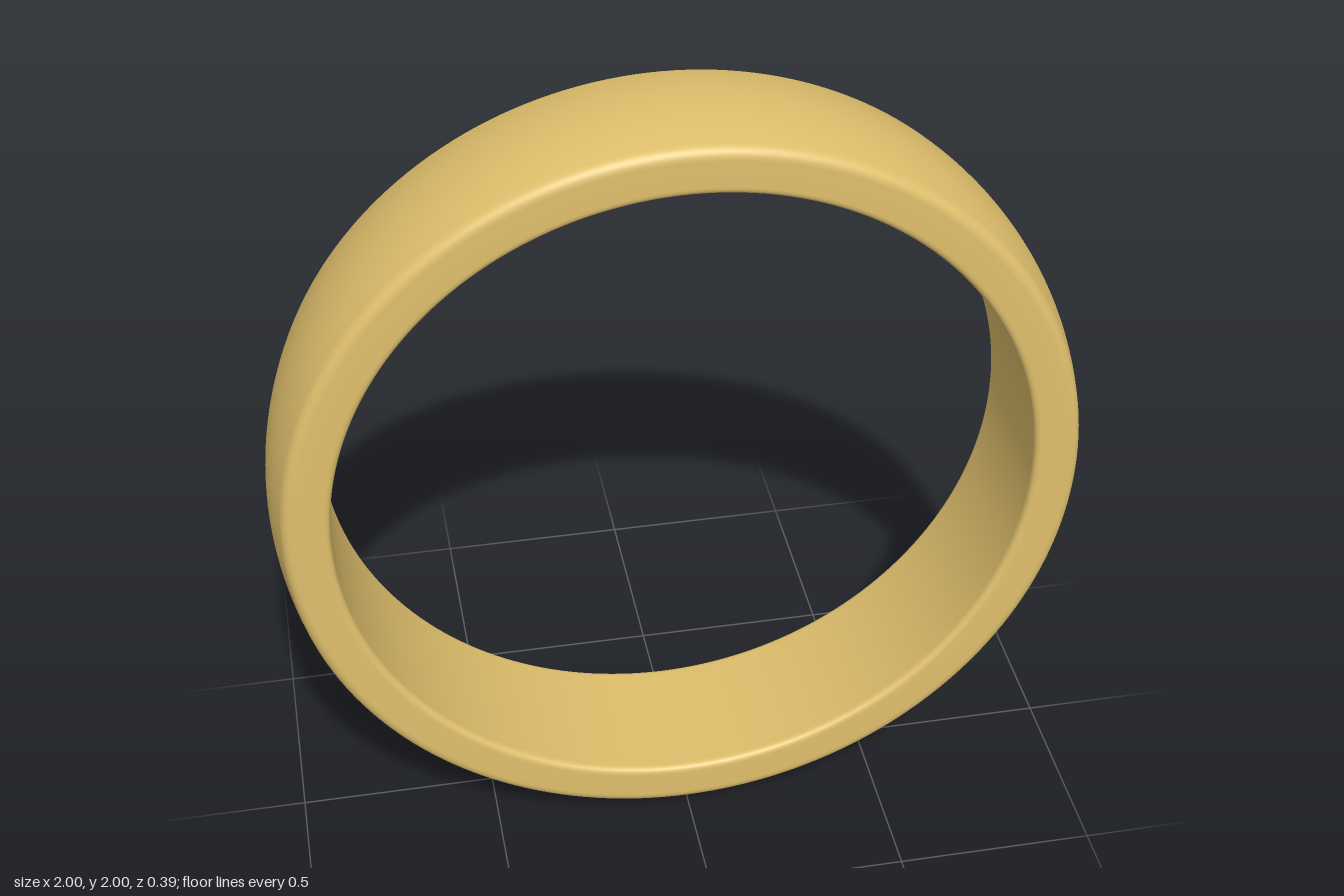
import * as THREE from 'three';

const HALF_WIDTH = 0.197;
const INNER = 0.86;

// Closed cross-section (radius, axial position): flat bore, rounded rims, domed outside.
function bandProfile() {
  const h = HALF_WIDTH;
  const path = new THREE.Path();
  path.moveTo(INNER, 0);
  path.lineTo(INNER, -h + 0.02);
  path.quadraticCurveTo(INNER, -h, INNER + 0.02, -h);
  path.lineTo(0.945, -h);
  path.quadraticCurveTo(0.972, -h, 0.978, -h + 0.027);
  path.quadraticCurveTo(1.022, 0, 0.978, h - 0.027);
  path.quadraticCurveTo(0.972, h, 0.945, h);
  path.lineTo(INNER + 0.02, h);
  path.quadraticCurveTo(INNER, h, INNER, h - 0.02);
  path.lineTo(INNER, 0);
  return path.getPoints(12);
}

export function createModel() {
  const group = new THREE.Group();
  group.name = 'ring';

  // Band: the section turned around the z axis, resting on the ground.
  const geometry = new THREE.LatheGeometry(bandProfile(), 192);
  geometry.rotateX(Math.PI / 2);
  geometry.translate(0, 1, 0);
  const gold = new THREE.MeshStandardMaterial({ color: 0xdfbf6c });
  const band = new THREE.Mesh(geometry, gold);
  band.name = 'band';
  group.add(band);

  return group;
}
